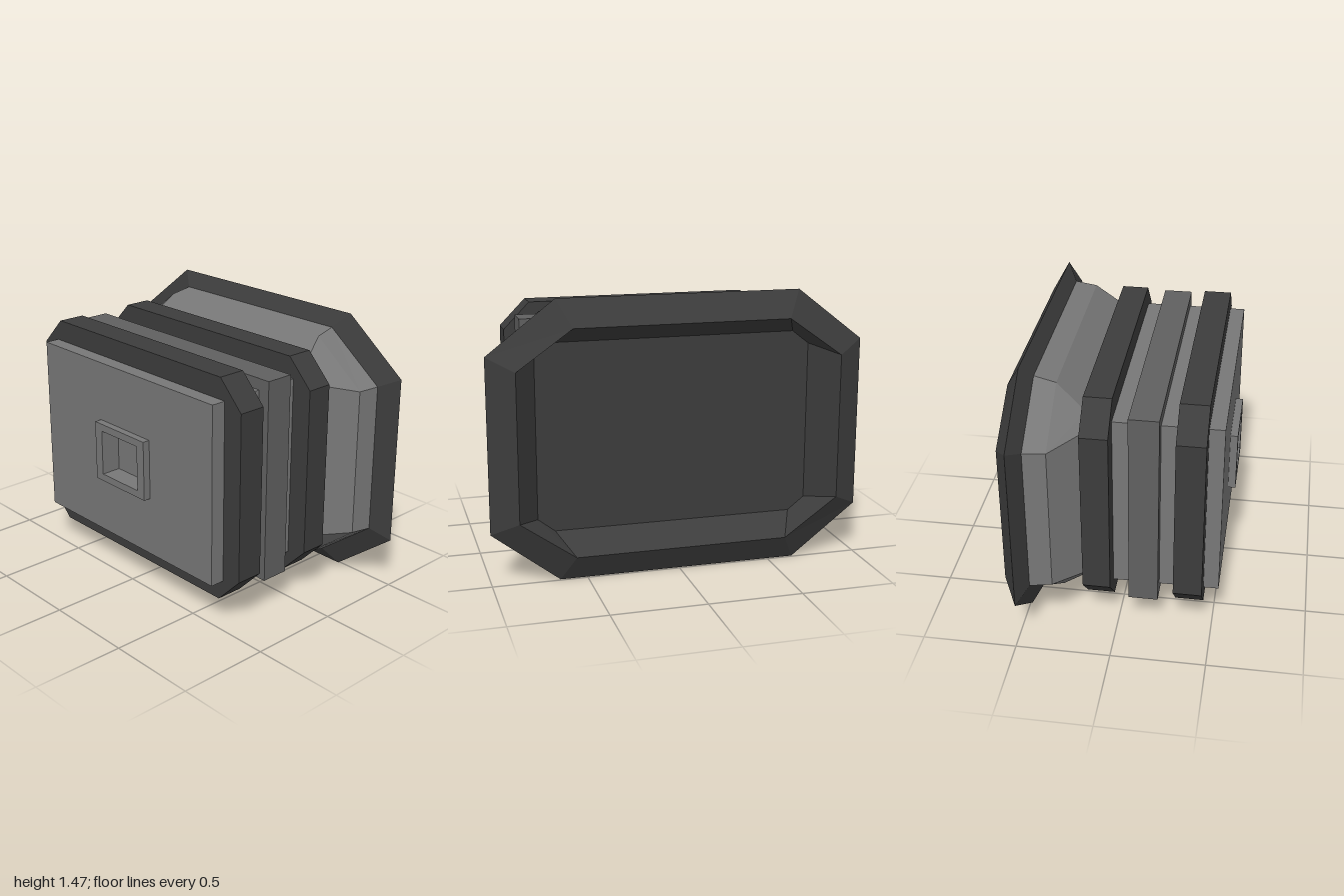
import * as THREE from 'three';

const CY = 0.74; // height of the central axis

const mat = (color, opts = {}) => {
  const m = new THREE.MeshStandardMaterial({ color, flatShading: true, ...opts });
  return m;
};

// Chamfered rectangle, counter-clockwise seen from the front.
// hw, hh: half sizes; cx, cy: half lengths of the straight edges.
const octagon = (hw, hh, cx, cy) => [
  [hw, -cy], [hw, cy], [cx, hh], [-cx, hh],
  [-hw, cy], [-hw, -cy], [-cx, -hh], [cx, -hh],
];

// Flat-shaded skin through octagonal sections [z, hw, hh, cx, cy], closed at the end on request.
function loft(sections, capEnd) {
  const rings = sections.map(([z, ...o]) => octagon(...o).map(([x, y]) => [x, y, z]));
  const pos = [];
  for (let i = 0; i < rings.length - 1; i++) {
    for (let j = 0; j < 8; j++) {
      const k = (j + 1) % 8;
      const a = rings[i][j], b = rings[i][k], c = rings[i + 1][k], d = rings[i + 1][j];
      pos.push(...a, ...d, ...c, ...a, ...c, ...b);
    }
  }
  if (capEnd) {
    const r = rings[rings.length - 1];
    for (let j = 1; j < 7; j++) pos.push(...r[0], ...r[j + 1], ...r[j]);
  }
  const g = new THREE.BufferGeometry();
  g.setAttribute('position', new THREE.Float32BufferAttribute(pos, 3));
  g.computeVertexNormals();
  return g;
}

const rectPoints = (hw, hh) =>
  [[hw, -hh], [hw, hh], [-hw, hh], [-hw, -hh]].map(([x, y]) => new THREE.Vector2(x, y));

// Extrude an outline between two depths, with an optional rectangular hole.
function slab(points, z0, z1, hole) {
  const shape = new THREE.Shape(points);
  if (hole) shape.holes.push(new THREE.Path(rectPoints(...hole).reverse()));
  const g = new THREE.ExtrudeGeometry(shape, { depth: z1 - z0, bevelEnabled: false });
  return g.translate(0, 0, z0);
}

export function createModel() {
  const group = new THREE.Group();
  const bodyMat = mat(0x777777);
  const bandMat = mat(0x606060);
  const darkMat = mat(0x3c3c3c);

  const add = (name, geometry, material) => {
    const mesh = new THREE.Mesh(geometry, material);
    mesh.name = name;
    mesh.position.y = CY;
    group.add(mesh);
  };

  // Main block, with a square socket sunk into its front
  const hole = [0.145, 0.125];
  add('body', slab(rectPoints(0.675, 0.49), -0.17, 0.46), bodyMat);
  add('frontPlate', slab(rectPoints(0.675, 0.49), 0.46, 0.53, hole), bodyMat);
  add('socketFrame', slab(rectPoints(0.2, 0.165), 0.53, 0.57, hole), bodyMat);

  // Two chamfered collars and a plain band between them
  const collar = octagon(0.79, 0.604, 0.645, 0.455).map(([x, y]) => new THREE.Vector2(x, y));
  add('frontCollar', slab(collar, 0.3, 0.45), darkMat);
  add('rearCollar', slab(collar, -0.175, -0.03), darkMat);
  add('middleBand', slab(rectPoints(0.74, 0.55), 0.06, 0.215), bandMat);

  // Flared neck behind the rear collar
  add('flaredNeck', loft([
    [-0.17, 0.705, 0.505, 0.615, 0.432],
    [-0.32, 0.872, 0.632, 0.575, 0.402],
    [-0.435, 0.893, 0.655, 0.565, 0.407],
  ]), bodyMat);

  // Sharp-edged rim that folds in to a shallow dish at the back
  add('rearRim', loft([
    [-0.435, 0.893, 0.655, 0.565, 0.407],
    [-0.49, 1.0, 0.736, 0.643, 0.46],
    [-0.57, 0.86, 0.595, 0.57, 0.39],
    [-0.4, 0.74, 0.5, 0.65, 0.43],
  ], true), darkMat);

  return group;
}
